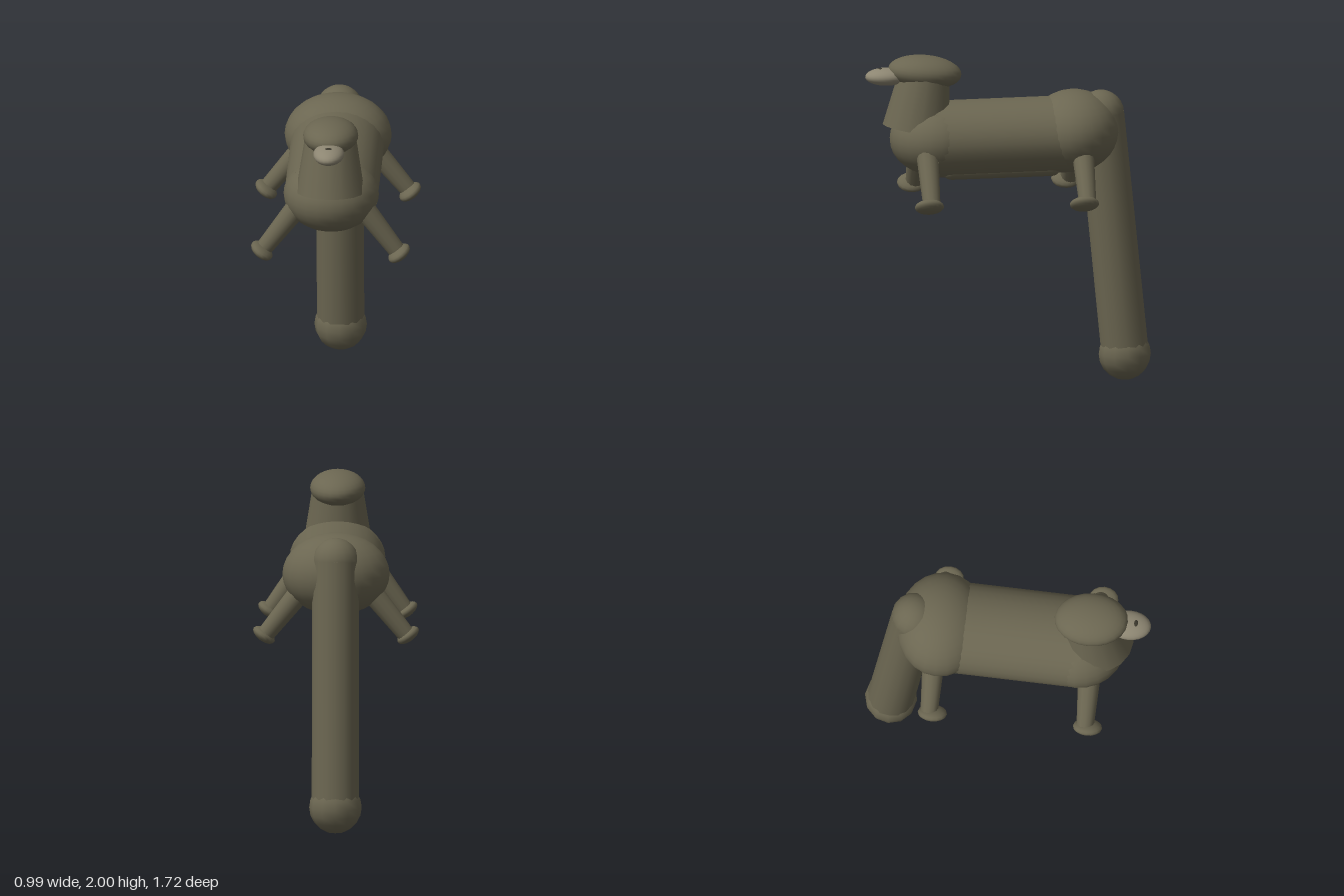
import * as THREE from 'three';
import { RoundedBoxGeometry } from 'three/addons/geometries/RoundedBoxGeometry.js';

export function createModel() {
  const root = new THREE.Group();
  const fur = new THREE.MeshStandardMaterial({ color: 0x6b6651 });
  const pale = new THREE.MeshStandardMaterial({ color: 0x8d8672 });
  const dark = new THREE.MeshStandardMaterial({ color: 0x3a372c });

  const add = (name, geo, pos, mat = fur) => {
    const mesh = new THREE.Mesh(geo, mat);
    mesh.name = name;
    mesh.position.set(...pos);
    root.add(mesh);
    return mesh;
  };
  const ball = (name, pos, radii, mat, w = 24, h = 16) => {
    const mesh = add(name, new THREE.SphereGeometry(1, w, h), pos, mat);
    mesh.scale.set(...radii);
    return mesh;
  };
  // Tapered tube from a to b
  const limb = (name, a, b, ra, rb, sides = 16) => {
    const from = new THREE.Vector3(...a), to = new THREE.Vector3(...b);
    const dir = from.clone().sub(to);
    const mid = from.clone().add(to).multiplyScalar(0.5);
    const mesh = add(name, new THREE.CylinderGeometry(ra, rb, dir.length(), sides), mid.toArray());
    mesh.quaternion.setFromUnitVectors(new THREE.Vector3(0, 1, 0), dir.normalize());
    return mesh;
  };

  // Body: oval barrel between a chest and a larger rump
  const torso = limb('torso', [0, 1.485, 0.45], [0, 1.5, -0.4], 1, 1, 28);
  torso.scale.set(0.28, 1, 0.228);
  const belly = add('belly', new RoundedBoxGeometry(0.3, 0.14, 0.72, 4, 0.06), [0, 1.328, 0.05]);
  belly.rotation.x = 0.015;
  ball('chest', [0, 1.49, 0.43], [0.285, 0.22, 0.28]);
  ball('rump', [0, 1.52, -0.4], [0.32, 0.245, 0.27]);

  // Neck, head and muzzle
  limb('neck', [0, 1.87, 0.505], [0, 1.555, 0.55], 0.155, 0.205, 16);
  const head = ball('head', [0, 1.895, 0.5], [0.165, 0.1, 0.222]);
  head.rotation.x = -0.1;
  ball('muzzle', [0, 1.872, 0.73], [0.092, 0.053, 0.128], pale);
  ball('nose', [0, 1.913, 0.765], [0.03, 0.012, 0.02], dark, 12, 8);

  // Splayed legs with flattened feet
  const legs = [
    { name: 'front', z: 0.51, footZ: 0.525, x: 0.405 },
    { name: 'hind', z: -0.425, footZ: -0.405, x: 0.425 },
  ];
  for (const { name, z, footZ, x } of legs) {
    for (const side of [1, -1]) {
      const label = side > 0 ? 'Left' : 'Right';
      limb(name + 'Leg' + label, [side * 0.2, 1.43, z], [side * x, 1.15, z], 0.067, 0.052, 12);
      const foot = ball(name + 'Foot' + label, [side * (x + 0.005), 1.15, footZ], [0.075, 0.037, 0.088], fur, 16, 10);
      foot.rotation.z = side * 0.62;
    }
  }

  // Long hanging tail with a rounded root and tip
  ball('tailRoot', [0, 1.62, -0.56], [0.14, 0.14, 0.14], fur, 16, 12);
  limb('tail', [0, 1.62, -0.56], [0, 0.18, -0.704], 0.14, 0.142, 16);
  ball('tailTip', [0, 0.157, -0.704], [0.157, 0.157, 0.157], fur, 12, 10);

  return root;
}
